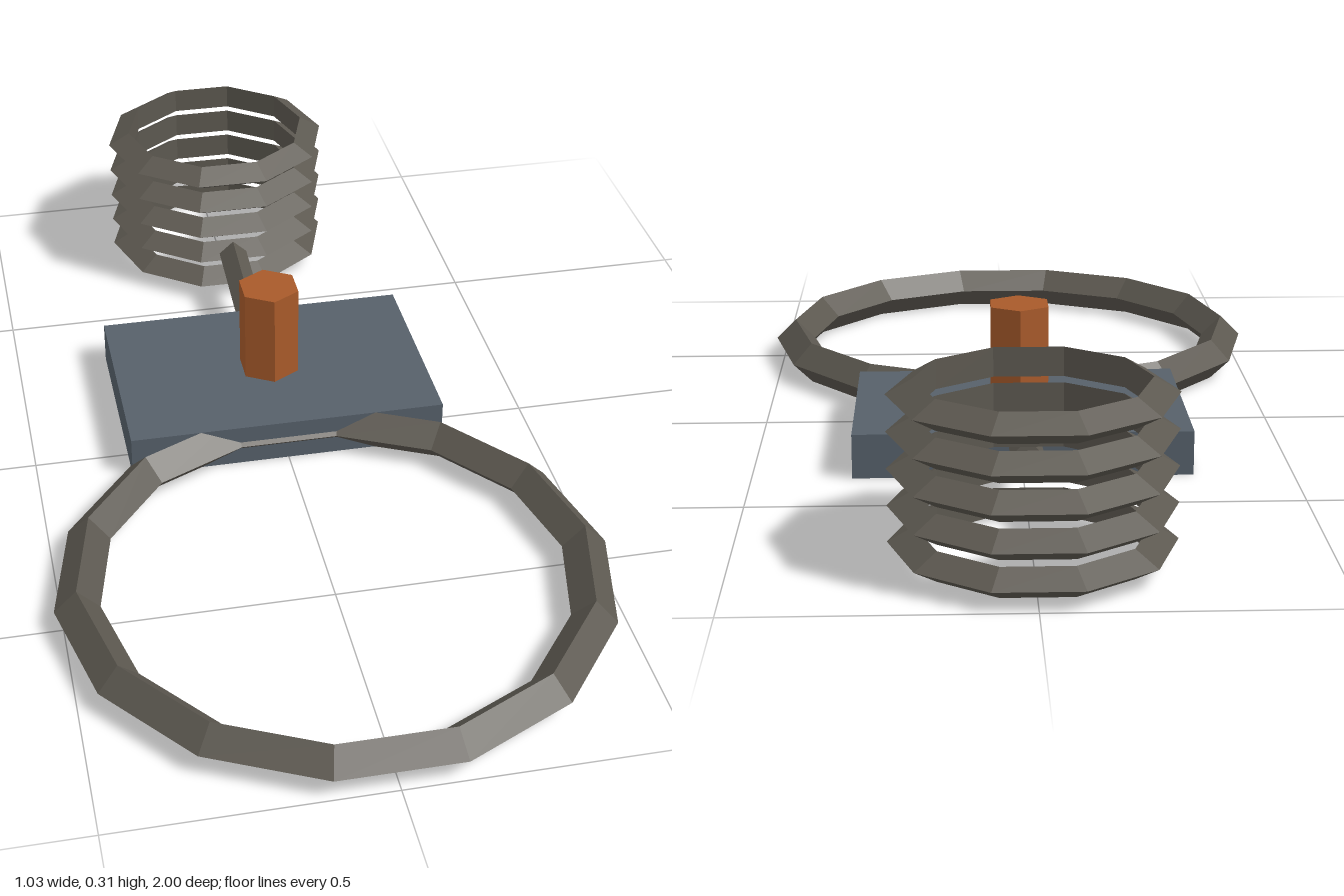
import * as THREE from 'three';

const material = (color) => new THREE.MeshStandardMaterial({ color, flatShading: true });

export function createModel() {
  const model = new THREE.Group();
  model.name = 'ringsAndPlate';

  const iron = material(0x5c5850);
  const slate = material(0x56606a);
  const copper = material(0xa85a2a);

  const add = (name, geometry, mat, x, y, z, parent = model) => {
    const mesh = new THREE.Mesh(geometry, mat);
    mesh.name = name;
    mesh.position.set(x, y, z);
    parent.add(mesh);
    return mesh;
  };

  // Ring lying flat in the ground plane
  const flatRing = (radius, tube, tubeSides, sides) =>
    new THREE.TorusGeometry(radius, tube, tubeSides, sides).rotateX(Math.PI / 2);

  // Base plate
  const plateTop = 0.084;
  add('basePlate', new THREE.BoxGeometry(0.63, plateTop, 0.42), slate, 0, plateTop / 2, -0.14);

  // Large front ring with a diamond section
  add('largeRing', flatRing(0.473, 0.042, 4, 14), iron, 0, 0.042, 0.497);

  // Hexagonal post standing on the plate
  const postBase = 0.06, postTop = 0.276;
  add('post', new THREE.CylinderGeometry(0.063, 0.063, postTop - postBase, 6), copper,
    0, (postBase + postTop) / 2, -0.137);

  // Coil: stacked rings with a triangular section
  const coil = new THREE.Group();
  coil.name = 'coil';
  model.add(coil);
  const coilGeometry = flatRing(0.21, 0.03, 3, 10);
  for (let i = 0; i < 5; i++) {
    add(`coilRing${i + 1}`, coilGeometry, iron, 0, 0.034 + i * 0.063, -0.77, coil);
  }

  // Four-sided arm rising from the plate to the coil
  const start = new THREE.Vector3(0, 0.054, -0.2);
  const end = new THREE.Vector3(0, 0.107, -0.555);
  const mid = start.clone().lerp(end, 0.5);
  const arm = add('arm', new THREE.CylinderGeometry(0.03, 0.03, start.distanceTo(end), 4), iron,
    mid.x, mid.y, mid.z);
  arm.quaternion.setFromUnitVectors(new THREE.Vector3(0, 1, 0), end.clone().sub(start).normalize());

  return model;
}
